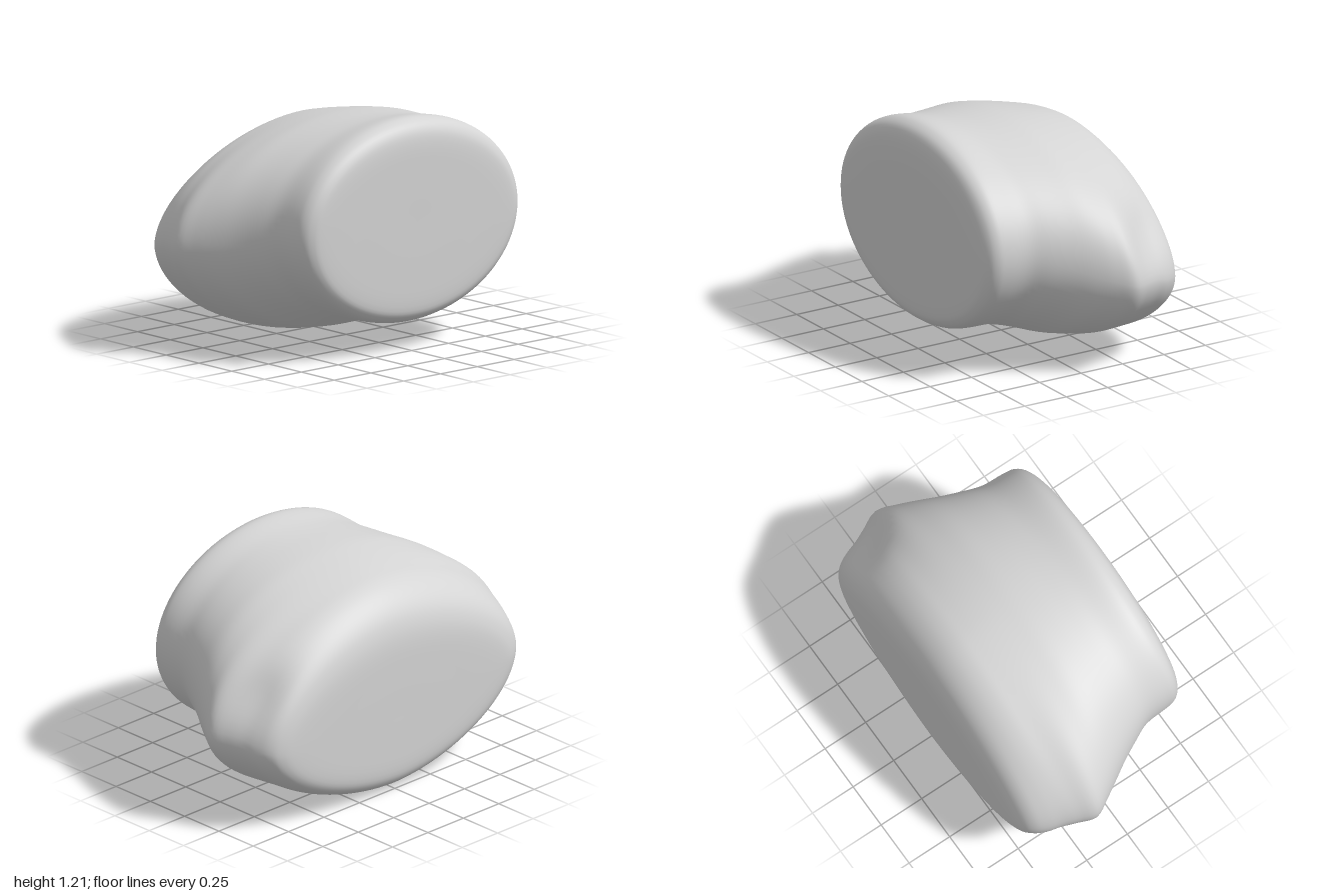
import * as THREE from 'three';

// Cross-sections front to back: z, half width, height of widest point, bottom, top, roundness
const SECTIONS = [
  [0.542, 0, 0.67, 0.67, 0.67, 2],
  [0.542, 0.35, 0.67, 0.42, 0.92, 2],
  [0.539, 0.62, 0.67, 0.24, 1.08, 2],
  [0.52, 0.695, 0.67, 0.182, 1.155, 2],
  [0.48, 0.73, 0.675, 0.152, 1.193, 2],
  [0.42, 0.74, 0.675, 0.143, 1.205, 2],
  [0.3, 0.75, 0.67, 0.14, 1.187, 2],
  [0.2, 0.79, 0.64, 0.125, 1.178, 2.05],
  [0.1, 0.84, 0.61, 0.095, 1.174, 2.05],
  [0.0, 0.9, 0.58, 0.06, 1.168, 2.03],
  [-0.09, 0.955, 0.56, 0.037, 1.157, 1.93],
  [-0.18, 1.0, 0.54, 0.018, 1.143, 1.83],
  [-0.27, 0.968, 0.53, 0.004, 1.125, 1.8],
  [-0.35, 0.935, 0.52, 0.0, 1.103, 1.8],
  [-0.42, 0.91, 0.5, 0.005, 1.063, 1.8],
  [-0.48, 0.875, 0.49, 0.023, 1.0, 1.8],
  [-0.52, 0.82, 0.47, 0.058, 0.92, 1.8],
  [-0.54, 0.71, 0.46, 0.12, 0.81, 1.8],
  [-0.543, 0.38, 0.45, 0.27, 0.62, 1.9],
  [-0.543, 0, 0.45, 0.45, 0.45, 2],
];

// Smooth curves through the section values
const curve = (first) => new THREE.CatmullRomCurve3(
  SECTIONS.map((s) => new THREE.Vector3(s[first], s[first + 1], s[first + 2])), false, 'catmullrom', 0.5);

function createBodyGeometry() {
  const rows = (SECTIONS.length - 1) * 4;
  const sides = 96;
  const plan = curve(0);
  const profile = curve(3);
  const positions = [];
  const indices = [];

  for (let i = 0; i <= rows; i++) {
    const { x: z, y: width, z: middle } = plan.getPoint(i / rows);
    const { x: bottom, y: top, z: power } = profile.getPoint(i / rows);
    // The widest line sits slightly higher on the right towards the back
    const tilt = 0.03 * THREE.MathUtils.smoothstep(-z, -0.2, 0.15) * Math.min(1, width);
    for (let j = 0; j < sides; j++) {
      const a = (j / sides) * Math.PI * 2;
      const c = Math.cos(a);
      const s = Math.sin(a);
      const px = Math.sign(c) * Math.abs(c) ** (2 / power);
      const py = Math.sign(s) * Math.abs(s) ** (2 / power);
      let x = width * px;
      let y = middle + py * (s > 0 ? top - middle : middle - bottom);
      y -= tilt * px * (1 - Math.abs(py));
      // Shallow dent high on the left rear shoulder
      if (x > 0) x -= 0.065 * x * Math.exp(-(((y - 0.73) / 0.15) ** 2) - ((z + 0.35) / 0.12) ** 2);
      positions.push(x, y, z);
      if (i < rows) {
        const k = (j + 1) % sides;
        const p = i * sides;
        const q = p + sides;
        indices.push(p + j, q + j, p + k, q + j, q + k, p + k);
      }
    }
  }

  const geometry = new THREE.BufferGeometry();
  geometry.setAttribute('position', new THREE.Float32BufferAttribute(positions, 3));
  geometry.setIndex(indices);
  geometry.computeVertexNormals();
  return geometry;
}

export function createModel() {
  const group = new THREE.Group();
  group.name = 'smoothPebble';
  const grey = new THREE.MeshStandardMaterial({ color: 0xd4d4d4 });
  grey.name = 'light grey';
  const body = new THREE.Mesh(createBodyGeometry(), grey);
  body.name = 'body';
  group.add(body);
  return group;
}
